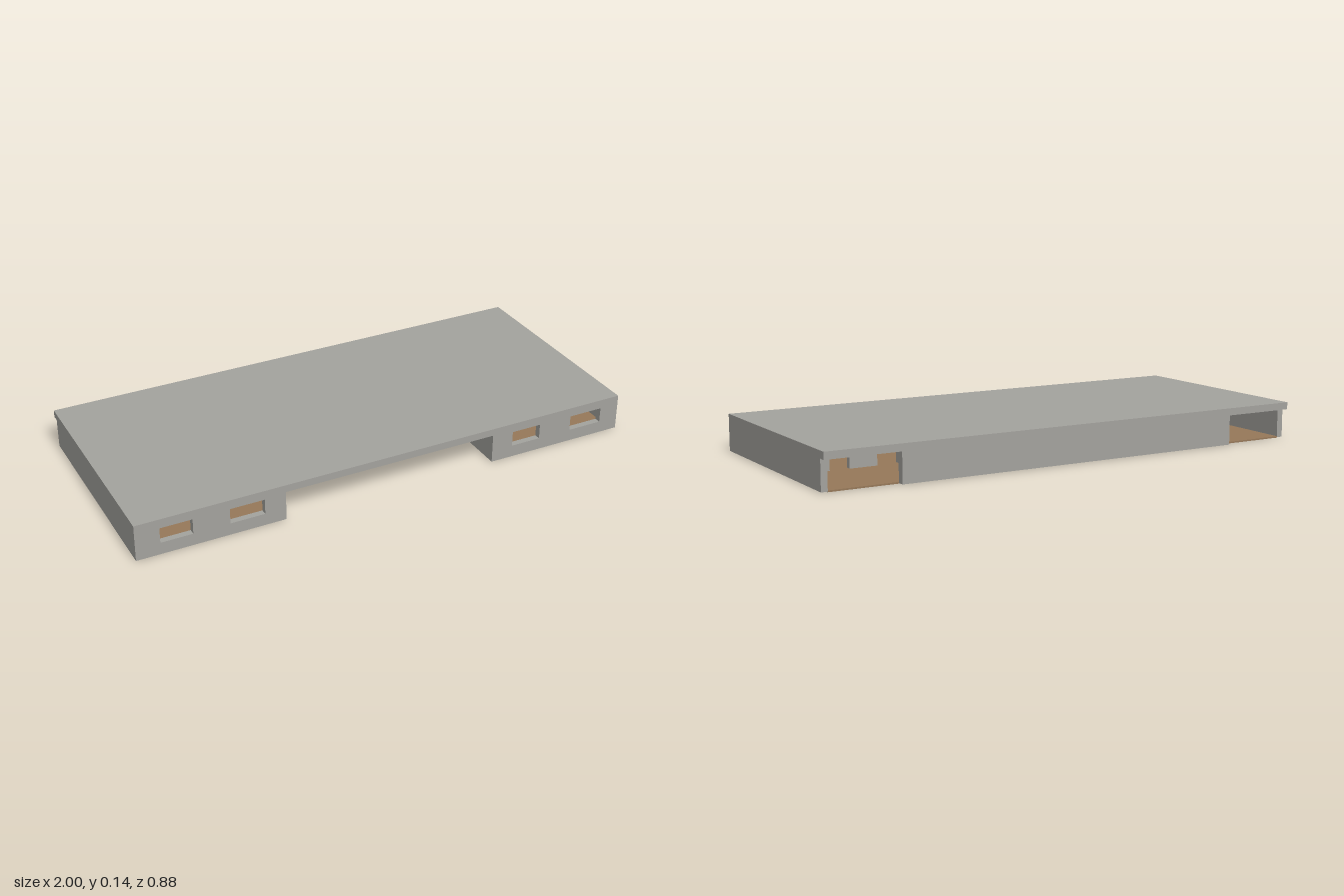
import * as THREE from 'three';

const concrete = new THREE.MeshStandardMaterial({ color: 0xa3a29d });
concrete.name = 'concrete grey';
const flooring = new THREE.MeshStandardMaterial({ color: 0x967859 });
flooring.name = 'floor brown';

const X = 1, Z = 0.44, TOP = 0.145, EAVE = 0.117;
const BASE = 0.002, T = 0.025;            // wall foot and wall thickness
const BAY = 0.43, BAY_BACK = -0.09;       // recess in the front
const DOOR = 0.71, SIDE_END = -0.412;     // rear openings

export function createModel() {
  const model = new THREE.Group();

  // Box given by its limits on each axis
  function block(name, x0, x1, y0, y1, z0, z1, material = concrete) {
    const [a, b] = [Math.min(x0, x1), Math.max(x0, x1)];
    const mesh = new THREE.Mesh(new THREE.BoxGeometry(b - a, y1 - y0, z1 - z0), material);
    mesh.position.set((a + b) / 2, (y0 + y1) / 2, (z0 + z1) / 2);
    mesh.name = name;
    model.add(mesh);
  }

  // Front wall of a wing, pierced by its windows
  function frontWall(x0, x1, windows) {
    const rect = (Kind, a, b, c, d) => {
      const r = new Kind();
      r.moveTo(a, c);
      r.lineTo(b, c);
      r.lineTo(b, d);
      r.lineTo(a, d);
      r.closePath();
      return r;
    };
    const shape = rect(THREE.Shape, x0, x1, BASE, EAVE);
    for (const [a, b] of windows) shape.holes.push(rect(THREE.Path, a, b, 0.049, 0.109));
    const wall = new THREE.Mesh(
      new THREE.ExtrudeGeometry(shape, { depth: T, bevelEnabled: false }), concrete);
    wall.position.z = Z - T;
    wall.name = 'frontWall';
    model.add(wall);
  }

  block('roof', -X, X, EAVE, TOP, -Z, Z);

  // Rear wall between the two openings, and the wall behind the front recess
  block('backWall', -DOOR, DOOR, BASE, EAVE, -Z, SIDE_END);
  block('recessWall', -BAY, BAY, BASE, EAVE, BAY_BACK - T, BAY_BACK);

  frontWall(-X, -BAY, [[-0.908, -0.786], [-0.646, -0.512]]);
  frontWall(BAY, X, [[0.78, 0.92], [0.518, 0.64]]);

  // Floor: one strip across the back and one in each wing
  block('rearFloor', -X + T, X - T, 0, 0.006, SIDE_END, BAY_BACK - T, flooring);
  for (const s of [-1, 1]) {
    block('wingFloor', s * (BAY + T), s * (X - T), 0, 0.006, BAY_BACK - T, Z - T, flooring);
    block('sideWall', s * (X - T), s * X, BASE, EAVE, SIDE_END, Z - T);
    block('recessSideWall', s * BAY, s * (BAY + T), BASE, EAVE, BAY_BACK - T, Z - T);
  }

  // Partition pieces standing inside the wings
  const partitions = [[-0.89, -0.86], [-0.76, -0.65], [-0.59, -0.545],
    [0.837, 0.885], [0.65, 0.76], [0.543, 0.564]];
  for (const [a, b] of partitions) block('partition', a, b, 0.006, EAVE, -0.12, -0.1);

  return model;
}
